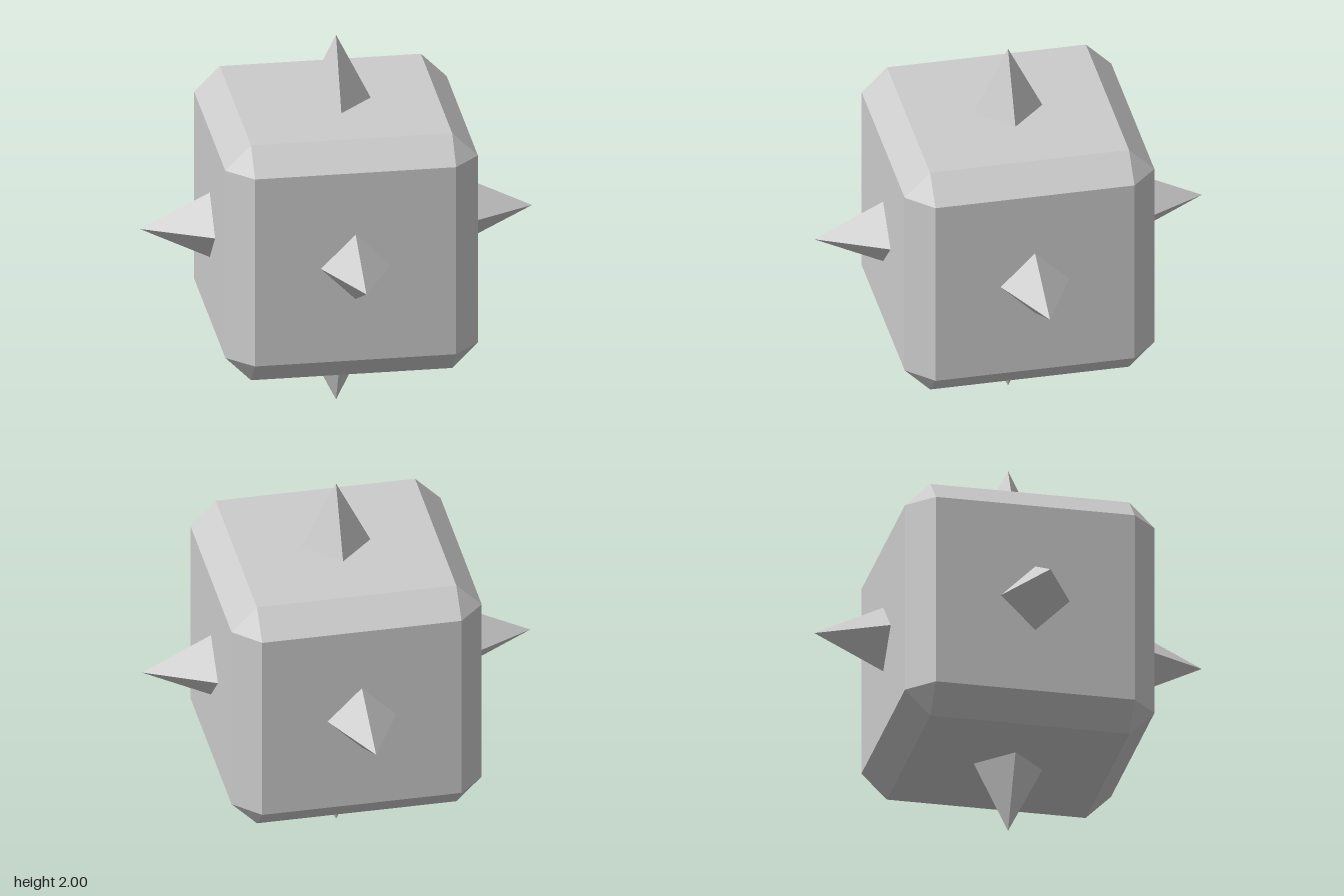
import * as THREE from 'three';
import { ConvexGeometry } from 'three/addons/geometries/ConvexGeometry.js';

const OUTER = 0.644; // half width of the body
const INNER = 0.513; // half width of each flat face
const SPIKE_RADIUS = 0.177;

export function createModel() {
  const model = new THREE.Group();
  model.name = 'spikedCube';
  const material = new THREE.MeshStandardMaterial({ color: 0xcccccc, flatShading: true });

  // Cube with bevelled edges and corners: three points at every corner
  const points = [];
  for (const x of [-1, 1]) for (const y of [-1, 1]) for (const z of [-1, 1]) {
    for (let axis = 0; axis < 3; axis++) {
      const p = new THREE.Vector3(x, y, z).multiplyScalar(INNER);
      p.setComponent(axis, p.getComponent(axis) * OUTER / INNER);
      points.push(p);
    }
  }
  const body = new THREE.Mesh(new ConvexGeometry(points), material);
  body.name = 'body';
  body.position.y = 1;
  model.add(body);

  // One four-sided spike in the middle of each face
  const height = 1 - OUTER;
  const spikeGeometry = new THREE.ConeGeometry(SPIKE_RADIUS, height, 4, 1, true);
  spikeGeometry.translate(0, OUTER + height / 2, 0);
  const spikes = {
    topSpike: [0, 0], bottomSpike: [Math.PI, 0],
    frontSpike: [Math.PI / 2, 0], backSpike: [-Math.PI / 2, 0],
    leftSpike: [0, -Math.PI / 2], rightSpike: [0, Math.PI / 2],
  };
  for (const [name, [rx, rz]] of Object.entries(spikes)) {
    const spike = new THREE.Mesh(spikeGeometry, material);
    spike.name = name;
    spike.rotation.set(rx, 0, rz);
    spike.position.y = 1;
    model.add(spike);
  }
  return model;
}
